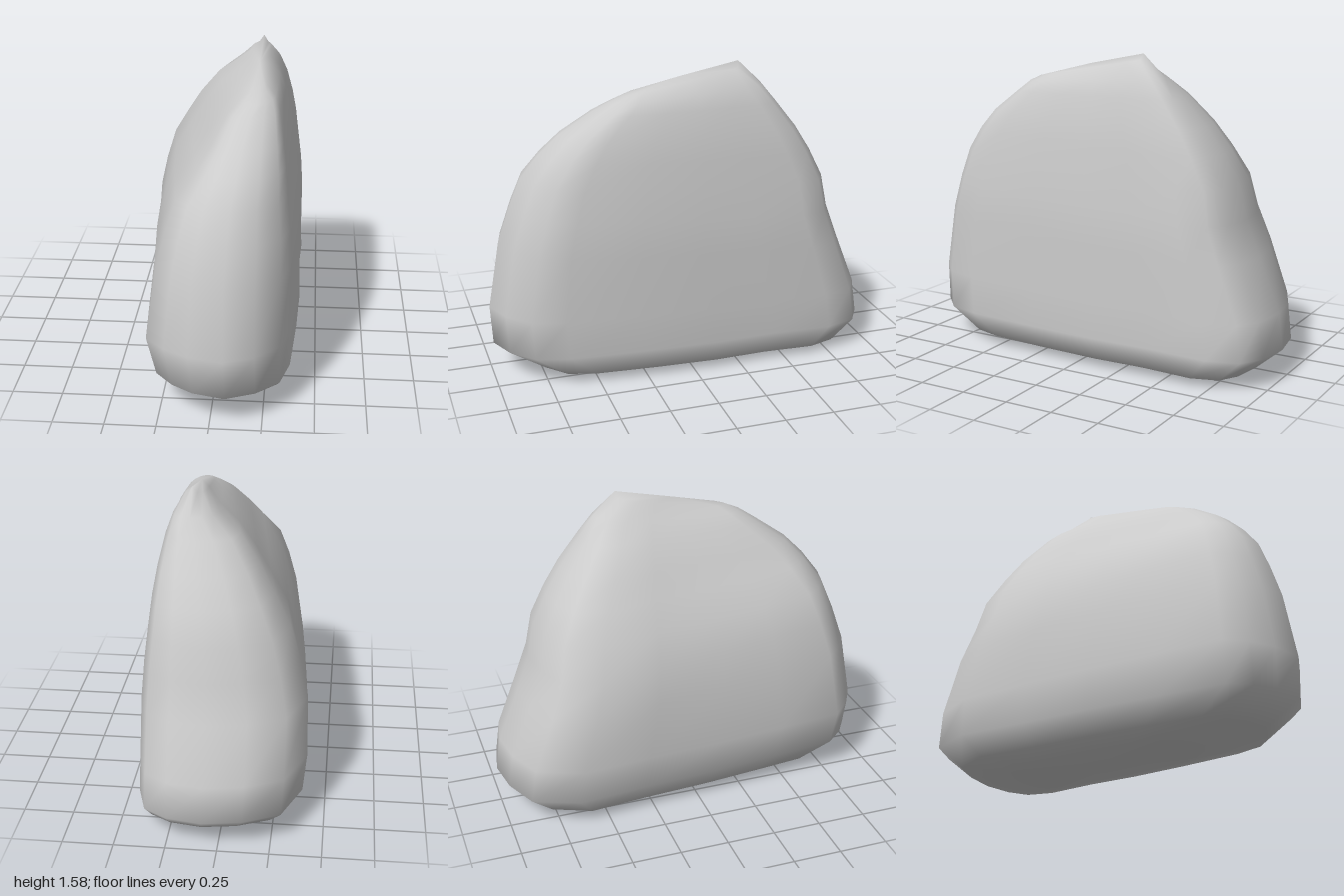
import * as THREE from 'three';

// Plan outline of the boulder, scaled to -1..1 in x and z
const outline = [
  [0.17, 1], [0.52, 0.94], [0.8, 0.83], [0.91, 0.66], [0.97, 0.27], [1, -0.1], [0.97, -0.42], [1, -0.74],
  [0.88, -0.9], [0.6, -0.97], [0.17, -1], [-0.3, -0.97], [-0.75, -0.89], [-1, -0.66], [-0.95, -0.3],
  [-0.92, 0.1], [-0.86, 0.45], [-0.79, 0.79], [-0.55, 0.89], [-0.25, 0.96],
];

// Cross-sections going up: [y at front, y at back, min x, max x, front z, back z, pinch of the front right corner]
const levels = [
  [0.012, 0.005, -0.17, 0.24, 0.45, -0.6, 0],
  [0.05, 0.04, -0.33, 0.39, 0.8, -0.87, 0.05],
  [0.16, 0.15, -0.4, 0.41, 0.99, -1.0, 0.06],
  [0.36, 0.33, -0.41, 0.405, 1.0, -0.975, 0.01],
  [0.7, 0.6, -0.415, 0.405, 0.94, -0.865, 0.08],
  [0.88, 0.78, -0.375, 0.395, 0.88, -0.795, 0.09],
  [1.03, 0.95, -0.325, 0.375, 0.82, -0.76, 0.1],
  [1.15, 1.1, -0.25, 0.36, 0.73, -0.68, 0.14],
  [1.25, 1.23, -0.175, 0.34, 0.63, -0.595, 0.14],
  [1.36, 1.37, -0.065, 0.31, 0.47, -0.48, 0.1],
  [1.41, 1.46, 0.05, 0.28, 0.39, -0.4, 0.04],
  [1.44, 1.545, 0.13, 0.23, 0.32, -0.28, 0],
];

function boulderGeometry() {
  const pos = [], index = [], n = outline.length;
  for (const [yf, yb, x0, x1, zf, zb, pinch] of levels) {
    for (const [u, w] of outline) {
      const front = (1 + w) / 2;
      pos.push(
        THREE.MathUtils.lerp(x0, x1, (u + 1) / 2) + pinch * Math.max(0, -u) * front,
        THREE.MathUtils.lerp(yb, yf, front),
        THREE.MathUtils.lerp(zb, zf, front)
      );
    }
  }
  // Side skin between neighbouring sections
  for (let k = 0; k < levels.length - 1; k++) {
    for (let i = 0; i < n; i++) {
      const a = k * n + i, b = k * n + (i + 1) % n;
      index.push(a, b, b + n, a, b + n, a + n);
    }
  }
  // Flat base and narrow top ridge
  const base = pos.length / 3;
  pos.push(0.03, 0, -0.1, 0.18, 1.515, 0.02);
  const top = (levels.length - 1) * n;
  for (let i = 0; i < n; i++) {
    const j = (i + 1) % n;
    index.push(base, j, i, base + 1, top + i, top + j);
  }
  // Peak near the back of the ridge
  pos[(top + 10) * 3 + 1] = 1.575;
  const g = new THREE.BufferGeometry();
  g.setAttribute('position', new THREE.Float32BufferAttribute(pos, 3));
  g.setIndex(index);
  g.computeVertexNormals();
  return g;
}

export function createModel() {
  const group = new THREE.Group();
  group.name = 'rock';
  const boulder = new THREE.Mesh(boulderGeometry(), new THREE.MeshStandardMaterial({ color: 0xcccccc }));
  boulder.name = 'boulder';
  group.add(boulder);
  return group;
}
